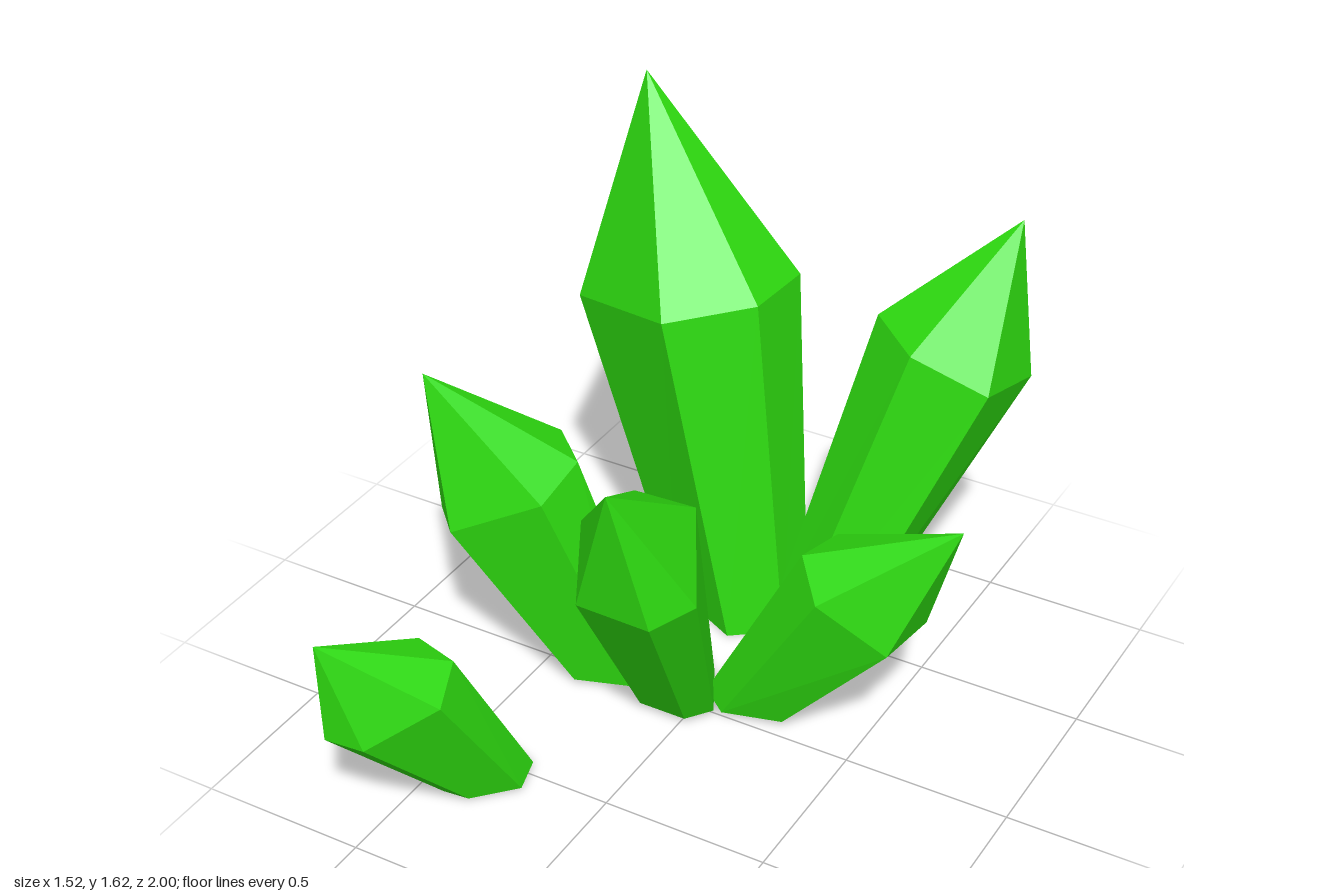
import * as THREE from 'three';

const green = new THREE.MeshStandardMaterial({ color: 0x2edb10, flatShading: true });
green.name = 'crystalGreen';

// Six-sided leaning crystal: a level foot, a tilted shoulder ring and a pointed tip.
// The foot is the shoulder outline shrunk by [scaleX, scaleZ] and moved to its own centre.
function crystal(name, tip, shoulder, footCentre, [scaleX, scaleZ]) {
  const n = shoulder.length;
  const ring = shoulder.map((p) => new THREE.Vector3(...p));
  const middle = ring.reduce((sum, p) => sum.add(p), new THREE.Vector3()).divideScalar(n);
  const centre = new THREE.Vector3(...footCentre);
  const foot = ring.map((p) => new THREE.Vector3(
    centre.x + (p.x - middle.x) * scaleX,
    centre.y,
    centre.z + (p.z - middle.z) * scaleZ,
  ));
  const apex = new THREE.Vector3(...tip);

  const corners = [];
  for (let i = 0; i < n; i++) {
    const j = (i + 1) % n;
    corners.push(ring[i], ring[j], apex); // tip facet
    corners.push(foot[i], foot[j], ring[j], foot[i], ring[j], ring[i]); // side
    corners.push(centre, foot[j], foot[i]); // underside
  }
  const geometry = new THREE.BufferGeometry().setFromPoints(corners);
  geometry.computeVertexNormals();
  const mesh = new THREE.Mesh(geometry, green);
  mesh.name = name;
  return mesh;
}

export function createModel() {
  const group = new THREE.Group();
  group.name = 'crystalCluster';

  // Shoulder corners run left, front, right, back
  group.add(
    crystal('tallBackCrystal', [-0.57, 1.62, -0.72], [
      [-0.68, 0.95, -0.50], [-0.28, 1.065, -0.30], [-0.06, 1.10, -0.47],
      [-0.07, 1.07, -0.75], [-0.41, 0.99, -0.93], [-0.68, 0.945, -0.72],
    ], [-0.135, 0, -0.54], [0.62, 0.62]),

    crystal('leaningBackCrystal', [0.57, 1.36, -0.87], [
      [0.39, 1.03, -0.54], [0.61, 0.93, -0.60], [0.625, 0.86, -0.88],
      [0.49, 0.865, -1.0], [0.23, 1.02, -0.91], [0.22, 1.05, -0.68],
    ], [0.13, 0.015, -0.50], [0.62, 0.62]),

    crystal('sideCrystal', [0.76, 0.80, -0.13], [
      [0.32, 0.63, -0.04], [0.42, 0.56, 0.07], [0.61, 0.41, 0.0],
      [0.63, 0.40, -0.215], [0.56, 0.46, -0.31], [0.34, 0.60, -0.22],
    ], [0.15, 0.02, -0.12], [0.92, 0.68]),

    crystal('oppositeSideCrystal', [-0.76, 1.02, 0.20], [
      [-0.745, 0.56, 0.17], [-0.64, 0.57, 0.28], [-0.38, 0.70, 0.20],
      [-0.37, 0.75, 0.02], [-0.50, 0.75, -0.10], [-0.73, 0.64, 0.04],
    ], [-0.31, 0.015, -0.05], [0.68, 0.75]),

    crystal('middleCrystal', [0.02, 1.04, 0.50], [
      [-0.23, 0.72, 0.23], [-0.12, 0.605, 0.44], [0.11, 0.60, 0.44],
      [0.195, 0.64, 0.33], [0.05, 0.77, 0.08], [-0.14, 0.77, 0.09],
    ], [-0.07, 0.02, -0.03], [0.65, 0.69]),

    crystal('smallFrontCrystal', [-0.58, 0.66, 1.0], [
      [-0.64, 0.41, 0.77], [-0.58, 0.34, 0.99], [-0.46, 0.34, 0.98],
      [-0.30, 0.45, 0.84], [-0.35, 0.50, 0.70], [-0.49, 0.50, 0.66],
    ], [-0.345, 0.01, 0.56], [0.65, 0.80]),
  );
  return group;
}
